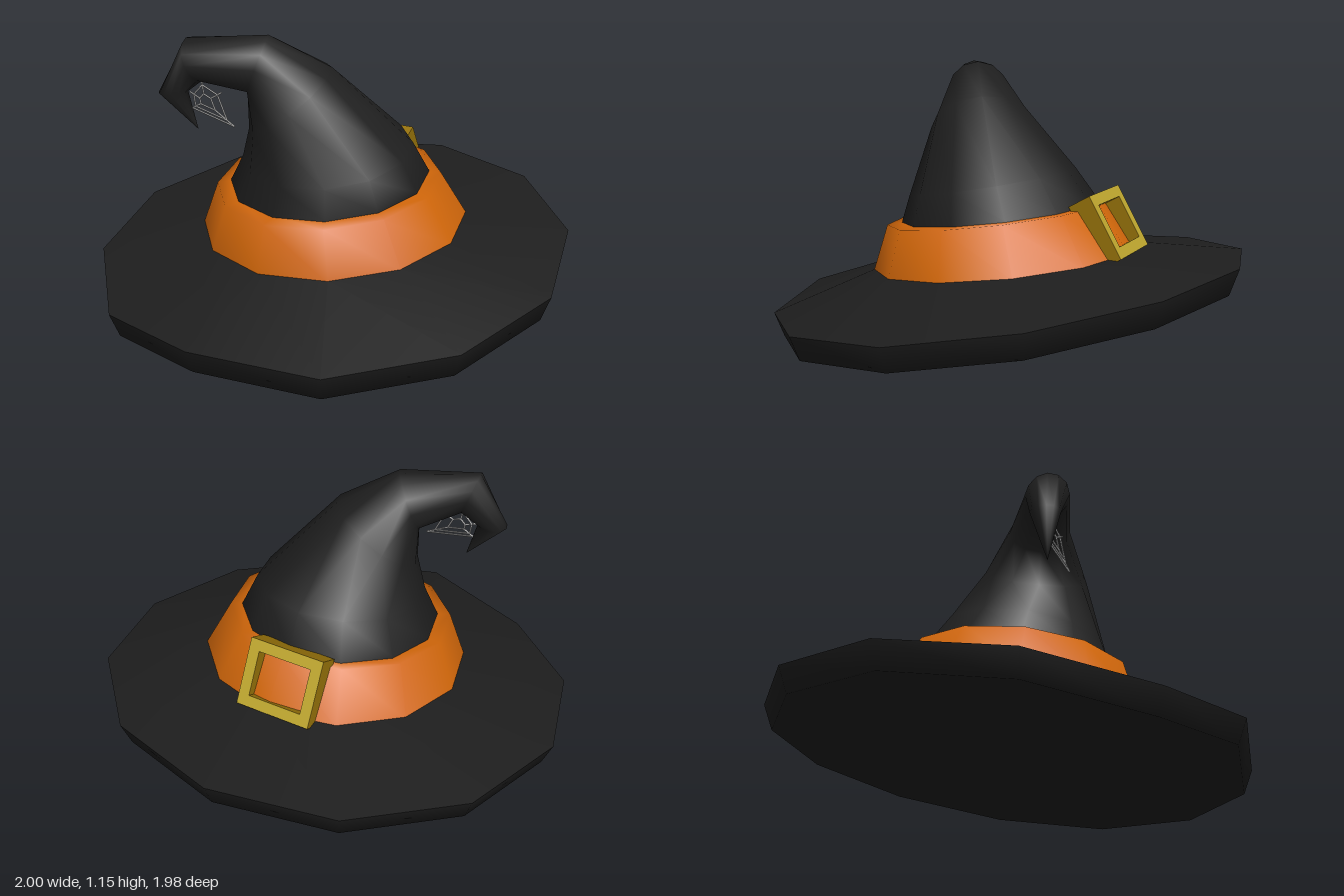
import * as THREE from 'three';

const SIDES = 12;
const material = (name, color) => {
  const m = new THREE.MeshStandardMaterial({ color });
  m.name = name;
  return m;
};

// Smooth skin over tilted rings, each [x, y, z, radius, normalX, normalY, normalZ].
// lift(ring, side) may raise single corners.
function loft(rings, lift = () => 0) {
  const positions = [], index = [];
  const reference = new THREE.Vector3(0.5, 0, Math.sqrt(0.75));
  rings.forEach(([x, y, z, r, nx, ny, nz], i) => {
    const n = new THREE.Vector3(nx, ny, nz).normalize();
    const u = reference.clone().addScaledVector(n, -reference.dot(n)).normalize();
    const v = n.clone().cross(u);
    for (let k = 0; k < SIDES; k++) {
      const a = (k / SIDES) * Math.PI * 2;
      const p = new THREE.Vector3(x, y, z)
        .addScaledVector(u, r * Math.cos(a))
        .addScaledVector(v, r * Math.sin(a));
      positions.push(p.x, p.y + lift(i, k), p.z);
      if (i === 0) continue;
      const k2 = (k + 1) % SIDES, low = (i - 1) * SIDES, high = i * SIDES;
      index.push(low + k, low + k2, high + k, low + k2, high + k2, high + k);
    }
  });
  const g = new THREE.BufferGeometry();
  g.setAttribute('position', new THREE.Float32BufferAttribute(positions, 3));
  g.setIndex(index);
  g.computeVertexNormals();
  return g;
}

export function createModel() {
  const black = material('blackFelt', 0x1e1e1e);
  const orange = material('orangeBand', 0xd0660a);
  const gold = material('goldFace', 0xbea62e);
  const darkGold = material('darkGoldEdge', 0x96720a);
  const grey = material('greyThread', 0xa8a8a8);

  const hat = new THREE.Group();
  hat.name = 'pointedHat';
  const add = (name, geometry, mat, parent = hat) => {
    const mesh = new THREE.Mesh(geometry, mat);
    mesh.name = name;
    parent.add(mesh);
    return mesh;
  };

  // Brim: a thick tilted dish with a slightly wavy edge, hollowed underneath
  const wave = [-0.01, -0.02, -0.025, -0.01, 0.01, 0.02, 0.01, 0.01, 0.015, 0, -0.024, 0.033];
  const rim = [0, 0.235, 0, 1.0, 0, 1, 0.135];
  add('brimUnderside', loft([
    [0.01, 0.24, 0.02, 0.001, 0, 1, 0.11],
    [0.01, 0.225, 0.01, 0.55, 0, 1, 0.11],
    [0, 0.13, 0, 0.96, 0, 1, 0.135],
    rim,
  ], (i, k) => (i > 1 ? wave[k] : 0)), black);
  add('brimTop', loft([
    rim,
    [0.015, 0.347, 0.01, 0.55, 0, 1, 0.11],
    [0.015, 0.36, 0.02, 0.4, 0, 1, 0.11],
  ], (i, k) => (i === 0 ? wave[k] : 0)), black);

  // Band around the crown, with a narrow top rim
  add('band', loft([
    [0.015, 0.34, 0.01, 0.557, 0, 1, 0.11],
    [0.012, 0.53, 0.05, 0.466, 0, 1, 0.13],
    [0.01, 0.535, 0.04, 0.4, 0, 1, 0.13],
  ]), orange);

  // Crown: tapers up, bends over and curls down to the tip
  add('crown', loft([
    [0.01, 0.42, 0.03, 0.43, 0, 1, 0.13],
    [0.01, 0.54, 0.04, 0.413, 0, 1, 0.13],
    [0.02, 0.66, 0.068, 0.352, 0, 1, 0.18],
    [-0.085, 0.888, 0.182, 0.212, -0.48, 0.8, 0.38],
    [-0.19, 1.03, 0.253, 0.125, -0.8, 0.35, 0.45],
    [-0.4, 1.05, 0.39, 0.091, -0.94, -0.33, 0.15],
    [-0.49, 0.91, 0.422, 0.06, 0.05, -1, 0],
    [-0.4, 0.76, 0.385, 0.001, 0.5, -0.85, -0.2],
  ]), black);

  // Buckle: square frame leaning on the back of the band
  const rectangle = (Type, w, h) => new Type([
    new THREE.Vector2(-w, -h), new THREE.Vector2(w, -h),
    new THREE.Vector2(w, h), new THREE.Vector2(-w, h),
  ]);
  const frame = rectangle(THREE.Shape, 0.162, 0.138);
  frame.holes.push(rectangle(THREE.Path, 0.116, 0.092));
  const buckle = add('buckle',
    new THREE.ExtrudeGeometry(frame, { depth: 0.1, bevelEnabled: false }), [gold, darkGold]);
  buckle.rotation.set(Math.atan2(-0.49, 0.87), Math.PI + 0.03, 0, 'YXZ');
  buckle.position.set(-0.016, 0.481, -0.4);

  // Cobweb strung inside the curl
  const web = new THREE.Group();
  web.name = 'cobweb';
  hat.add(web);
  const thread = (a, b) => {
    const d = b.clone().sub(a);
    const mesh = add('webThread', new THREE.CylinderGeometry(0.004, 0.004, d.length(), 5), grey, web);
    mesh.position.copy(a).addScaledVector(d, 0.5);
    mesh.quaternion.setFromUnitVectors(new THREE.Vector3(0, 1, 0), d.normalize());
  };
  const hub = new THREE.Vector3(-0.355, 0.88, 0.39);
  const ends = [
    [-0.43, 0.91], [-0.37, 0.97], [-0.27, 0.93], [-0.21, 0.8], [-0.42, 0.845],
  ].map(([x, y]) => new THREE.Vector3(x, y, 0.39));
  const at = (end, t) => hub.clone().lerp(end, t);
  ends.forEach((end, i) => {
    const next = ends[(i + 1) % ends.length];
    thread(at(end, 0.35), end);
    for (const t of [0.35, 0.75]) thread(at(end, t), at(next, t));
  });
  thread(ends[3], ends[4]);

  return hat;
}
